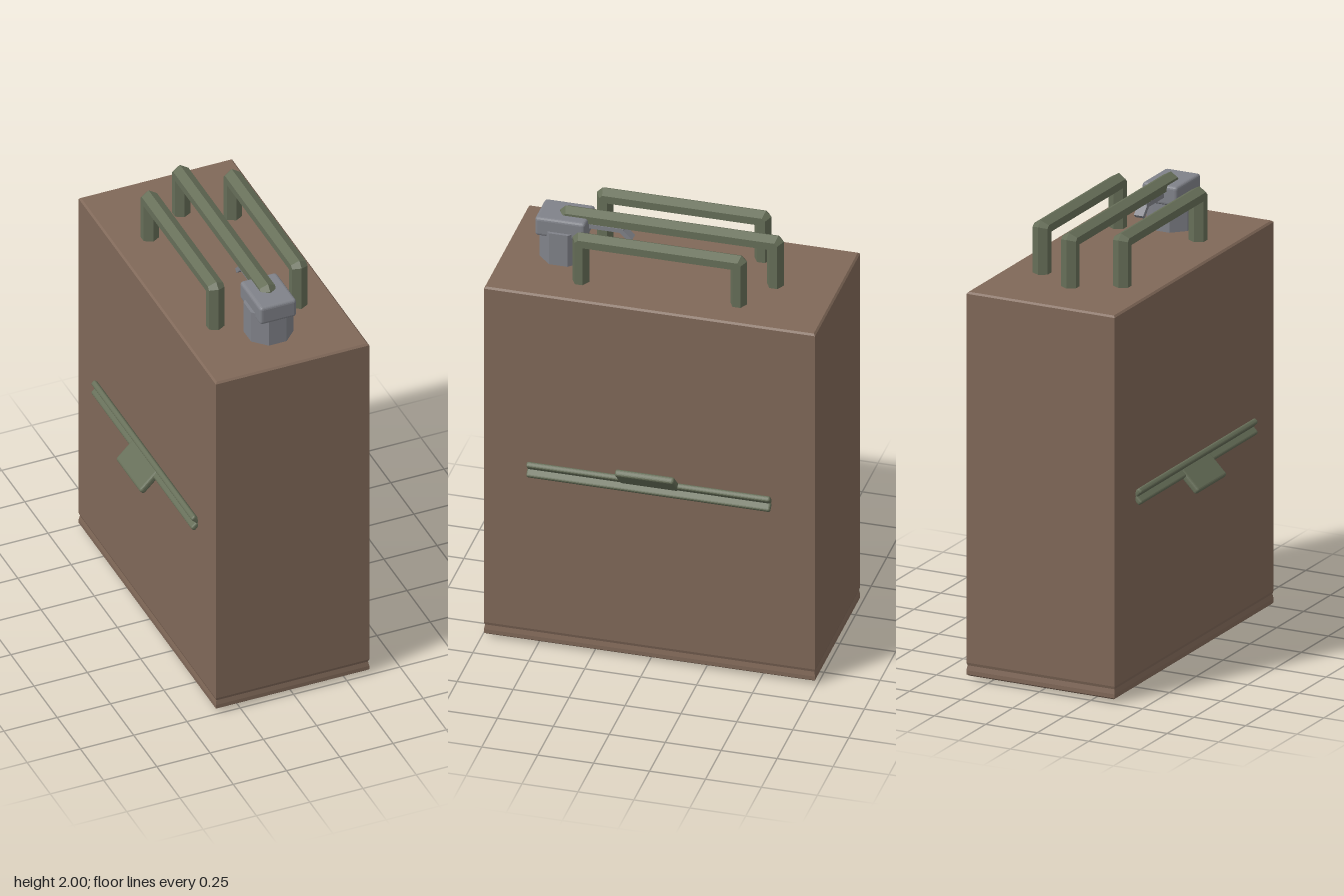
import * as THREE from 'three';
import { RoundedBoxGeometry } from 'three/addons/geometries/RoundedBoxGeometry.js';

const paint = (name, color, flatShading = false) => {
  const m = new THREE.MeshStandardMaterial({ color, flatShading });
  m.name = name;
  return m;
};

// Skin a list of closed rings (all the same length) with quads
function skin(rings, capped = false) {
  const pos = [];
  const n = rings[0].length;
  for (let i = 0; i < rings.length - 1; i++) {
    for (let j = 0; j < n; j++) {
      const k = (j + 1) % n;
      const a = rings[i][j], b = rings[i][k], c = rings[i + 1][k], d = rings[i + 1][j];
      pos.push(...a, ...b, ...c, ...a, ...c, ...d);
    }
  }
  if (capped) {
    const lo = rings[0], hi = rings[rings.length - 1];
    for (let j = 1; j < n - 1; j++) {
      pos.push(...lo[0], ...lo[j + 1], ...lo[j], ...hi[0], ...hi[j], ...hi[j + 1]);
    }
  }
  const g = new THREE.BufferGeometry();
  g.setAttribute('position', new THREE.Float32BufferAttribute(pos, 3));
  g.computeVertexNormals();
  return g;
}

// Rectangular ring at height y, counter-clockwise seen from below the skin order
const rect = (x, z, y) => [[-x, y, z], [x, y, z], [x, y, -z], [-x, y, -z]];

// Bridge handle with a hexagonal section and chamfered corners
function handleGeometry(half, top) {
  const chamfer = 0.025;
  const section = [[0, 0], [0.036, 0.02], [0.036, 0.055], [0, 0.075], [-0.036, 0.055], [-0.036, 0.02]];
  const path = (o) => {
    const d = Math.max(o, chamfer + 0.414 * o);
    return [
      [half - o, 1.74], [half - o, top - d], [half - d, top - o],
      [d - half, top - o], [o - half, top - d], [o - half, 1.74],
    ];
  };
  const rings = [0, 1, 2, 3, 4, 5].map((i) =>
    section.map(([x, o]) => [x, path(o)[i][1], path(o)[i][0]]));
  return skin(rings.map((r) => r.slice().reverse()));
}

export function createModel() {
  const model = new THREE.Group();
  const brown = paint('brown shell', 0x806858, true);
  const green = paint('olive green', 0x666e58, true);
  const grey = paint('grey metal', 0x808289, true);
  green.side = THREE.DoubleSide;

  const add = (parent, name, geometry, material, x = 0, y = 0, z = 0) => {
    const mesh = new THREE.Mesh(geometry, material);
    mesh.name = name;
    mesh.position.set(x, y, z);
    parent.add(mesh);
    return mesh;
  };

  // Can body with a slim flared rim at the bottom
  add(model, 'body', skin([
    rect(0.352, 0.732, 0.015), rect(0.36, 0.74, 0.022), rect(0.36, 0.74, 0.04),
    rect(0.356, 0.736, 0.062), rect(0.36, 0.74, 0.075),
    rect(0.36, 0.74, 1.747), rect(0.352, 0.732, 1.755),
  ], true), brown);

  // Inset panel underneath
  add(model, 'basePanel', skin([
    rect(0.26, 0.63, 0), rect(0.28, 0.65, 0.016),
  ], true), green);

  // Three carrying handles
  add(model, 'centreHandle', handleGeometry(0.5, 2), green);
  for (const s of [1, -1]) {
    add(model, s > 0 ? 'leftHandle' : 'rightHandle', handleGeometry(0.39, 1.995), green, s * 0.195);
  }

  // Filler neck, cap and its release lever
  const neck = new THREE.CylinderGeometry(0.108, 0.108, 0.17, 8);
  neck.rotateY(Math.PI / 8);
  add(model, 'fillerNeck', neck, grey, 0, 1.825, 0.48);
  add(model, 'fillerCap', new RoundedBoxGeometry(0.172, 0.09, 0.225, 2, 0.014), grey, 0, 1.925, 0.478);
  add(model, 'leverArm', new THREE.BoxGeometry(0.045, 0.02, 0.17), grey, 0, 1.925, 0.295);
  const tip = add(model, 'leverTip', new THREE.BoxGeometry(0.045, 0.02, 0.06), grey, 0, 1.902, 0.2);
  tip.rotation.x = -Math.PI / 4;

  // Side rails: a V-shaped strip with a raised tab, turned half round on the other side
  for (const side of [0, 1]) {
    const rail = new THREE.Group();
    rail.name = side ? 'rightRail' : 'leftRail';
    rail.position.y = 0.88;
    rail.rotation.z = side * Math.PI;
    const blade = (name, length, depth, thick, tilt) => {
      const g = new RoundedBoxGeometry(length, thick, depth, 2, thick * 0.35);
      g.translate(length / 2, 0, 0);
      add(rail, name, g, green, 0.35).rotation.z = tilt * Math.PI / 4;
    };
    blade('upperStrip', 0.046, 1.09, 0.026, 1);
    blade('lowerStrip', 0.046, 1.09, 0.026, -1);
    blade('tab', 0.132, 0.265, 0.032, 1);
    model.add(rail);
  }
  return model;
}
